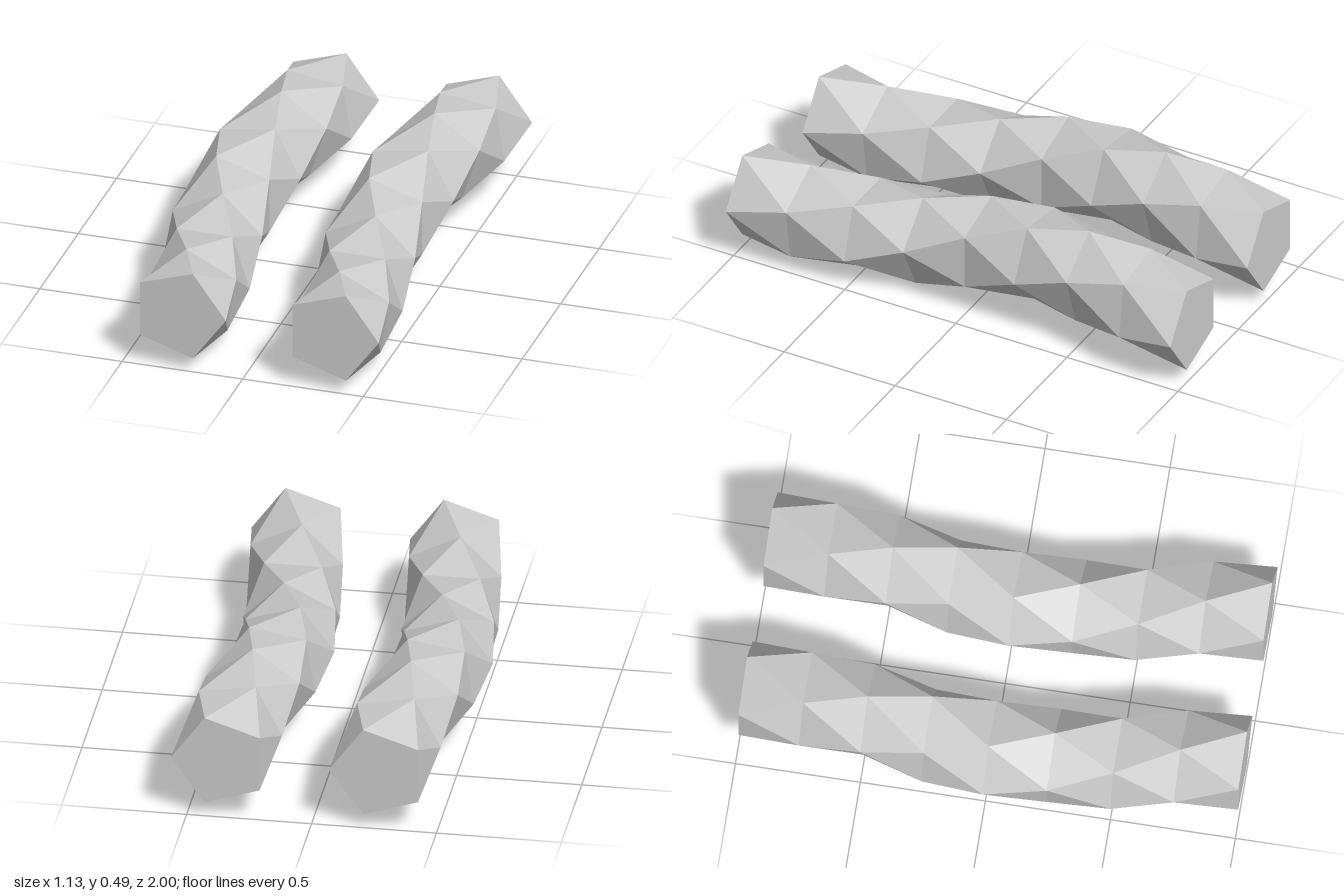
import * as THREE from 'three';

const SIDES = 5, STEPS = 8, RADIUS = 0.197, OFFSET = 0.05, CENTRE_Y = 0.247;

// Corner i of ring s: an off-centre pentagon making one full turn from front to back
function corner(s, i) {
  const turn = -(s % STEPS) / STEPS * Math.PI * 2;
  const a = turn + i / SIDES * Math.PI * 2;
  return new THREE.Vector3(
    OFFSET * Math.cos(turn) + RADIUS * Math.cos(a),
    OFFSET * Math.sin(turn) + RADIUS * Math.sin(a),
    1 - 2 * s / STEPS
  );
}

function twistedRodGeometry() {
  const points = [];
  for (let s = 0; s < STEPS; s++) {
    for (let i = 0; i < SIDES; i++) {
      const a = corner(s, i), b = corner(s, i + 1);
      const c = corner(s + 1, i), d = corner(s + 1, i + 1);
      points.push(a, c, d, a, d, b);
    }
  }
  // Flat end caps
  for (let i = 1; i < SIDES - 1; i++) {
    points.push(corner(0, 0), corner(0, i), corner(0, i + 1));
    points.push(corner(STEPS, 0), corner(STEPS, i + 1), corner(STEPS, i));
  }
  const geometry = new THREE.BufferGeometry().setFromPoints(points);
  geometry.computeVertexNormals();
  return geometry;
}

export function createModel() {
  const group = new THREE.Group();
  const material = new THREE.MeshStandardMaterial({ color: 0xcccccc, flatShading: true });
  const geometry = twistedRodGeometry();
  // Two identical rods side by side
  for (const [name, x] of [['leftRod', 0.317], ['rightRod', -0.317]]) {
    const rod = new THREE.Mesh(geometry, material);
    rod.name = name;
    rod.position.set(x, CENTRE_Y, 0);
    group.add(rod);
  }
  return group;
}
